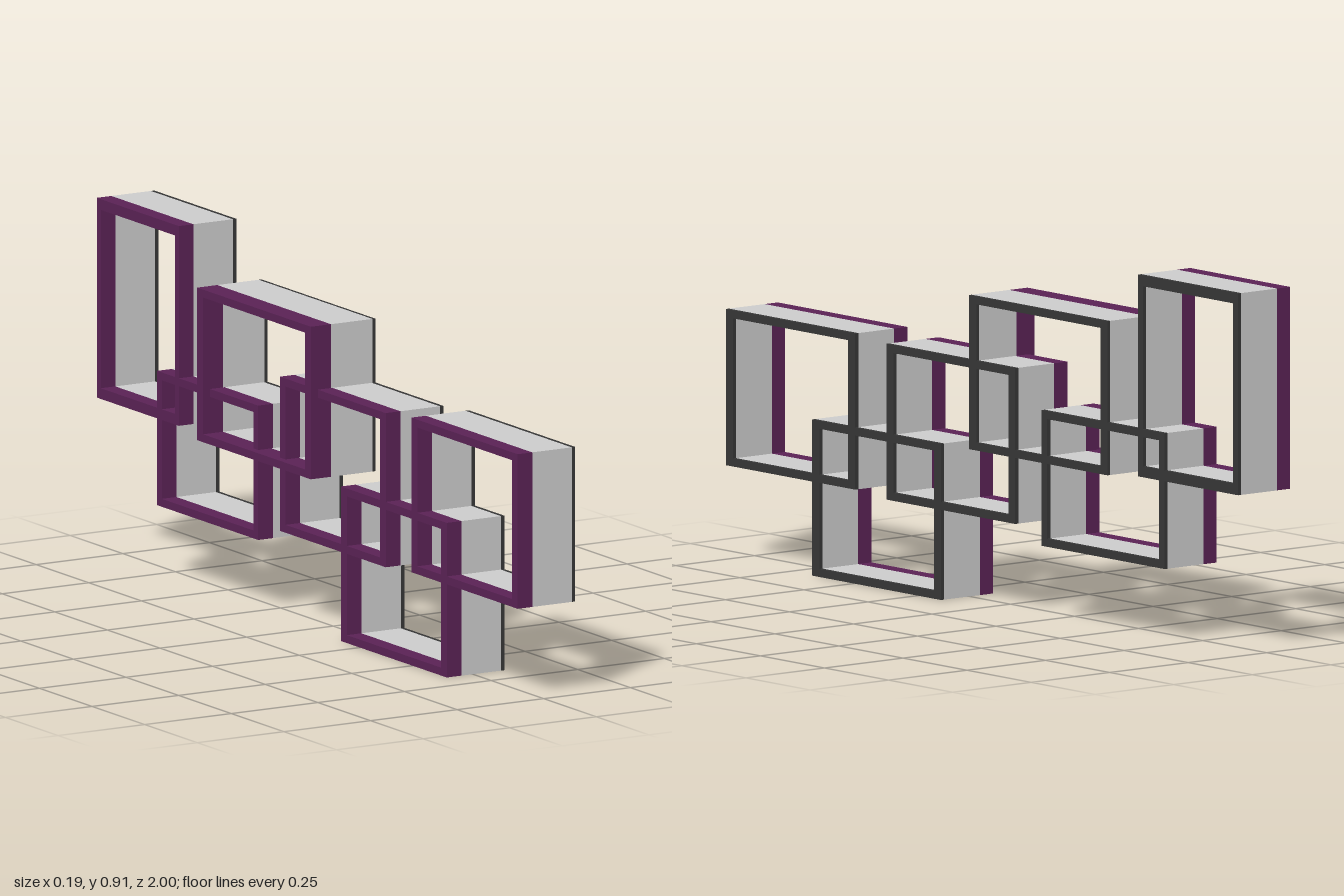
import * as THREE from 'three';

const purple = new THREE.MeshStandardMaterial({ name: 'plum purple', color: 0x5a2255 });
const grey = new THREE.MeshStandardMaterial({ name: 'light grey', color: 0xcbcbcb });
const dark = new THREE.MeshStandardMaterial({ name: 'charcoal', color: 0x363636 });

// One hollow rectangular layer in the z-y plane, extruded along x
function frameLayer(f, x0, x1, material, name) {
  const rect = (path, a, b, c, d) =>
    path.moveTo(a, c).lineTo(b, c).lineTo(b, d).lineTo(a, d).closePath();
  const shape = rect(new THREE.Shape(), -f.front, -f.back, f.bottom, f.top);
  shape.holes.push(rect(new THREE.Path(),
    -f.front + f.side, -f.back - f.side, f.bottom + f.rail, f.top - f.rail));
  const geometry = new THREE.ExtrudeGeometry(shape, { depth: x1 - x0, bevelEnabled: false });
  geometry.rotateY(Math.PI / 2).translate(x0, 0, 0);
  const mesh = new THREE.Mesh(geometry, material);
  mesh.name = name;
  return mesh;
}

export function createModel() {
  const model = new THREE.Group();
  model.name = 'interlockingFrameShelf';

  // x positions of the layer boundaries: back rim, body, front rim
  const normal = [-0.075, -0.033, 0.081, 0.091];
  const deep = [-0.095, -0.037, 0.083, 0.091];

  const frames = [
    { front: 1.0, back: 0.495, bottom: 0.235, top: 0.625, side: 0.028, rail: 0.02, xs: normal },
    { front: 0.663, back: 0.16, bottom: 0, top: 0.39, side: 0.028, rail: 0.02, xs: normal },
    { front: 0.373, back: -0.13, bottom: 0.225, top: 0.614, side: 0.027, rail: 0.02, xs: normal },
    { front: 0.05, back: -0.49, bottom: 0.39, top: 0.775, side: 0.028, rail: 0.02, xs: deep },
    { front: -0.233, back: -0.713, bottom: 0.183, top: 0.522, side: 0.022, rail: 0.02, xs: normal },
    { front: -0.61, back: -1.0, bottom: 0.402, top: 0.906, side: 0.019, rail: 0.027, xs: normal },
  ];

  frames.forEach((f, i) => {
    const box = new THREE.Group();
    box.name = `frame${i + 1}`;
    const [a, b, c, d] = f.xs;
    box.add(
      frameLayer(f, a, b, purple, 'backRim'),
      frameLayer(f, b, c, grey, 'body'),
      frameLayer(f, c, d, dark, 'frontRim'),
    );
    model.add(box);
  });
  return model;
}
